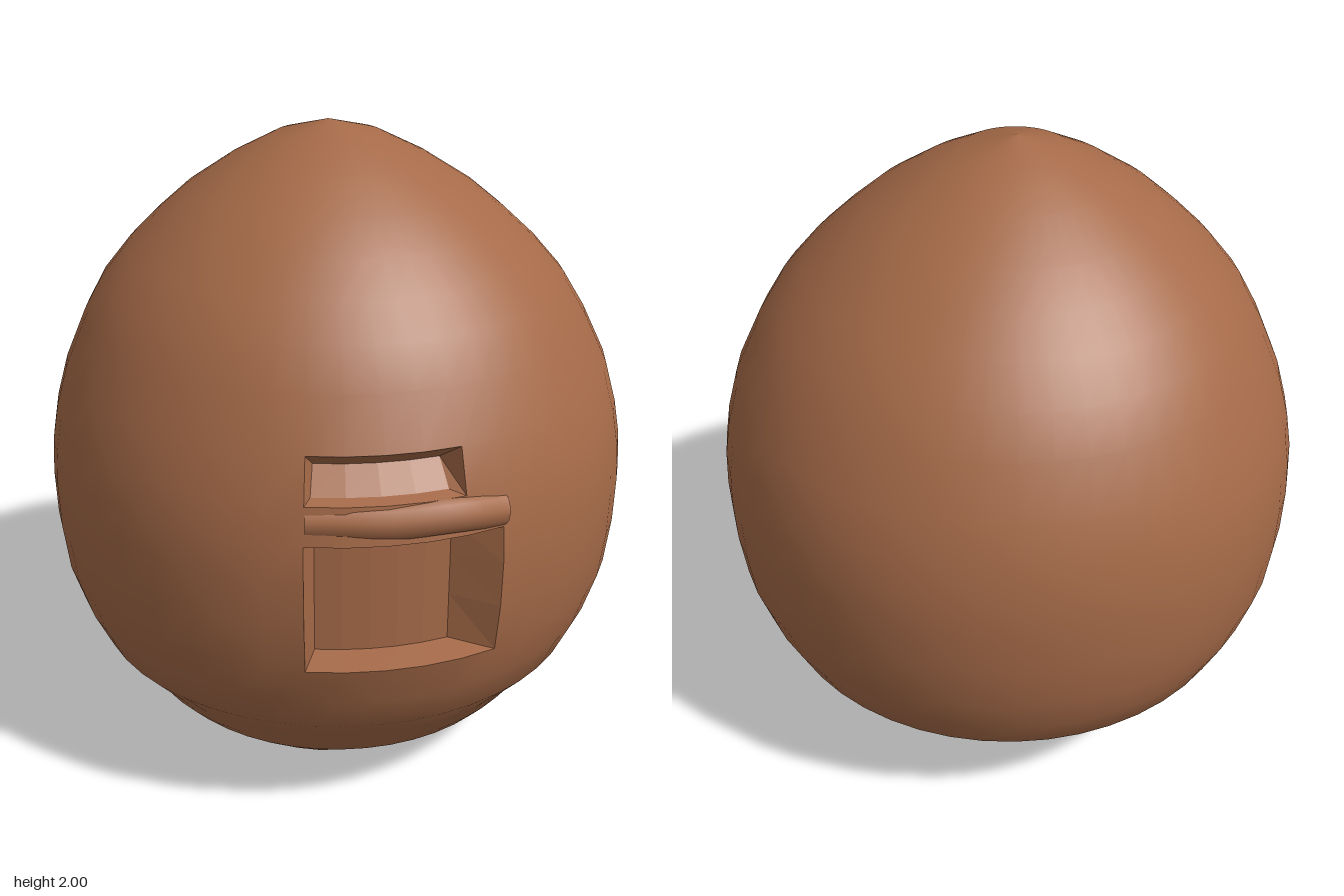
import * as THREE from 'three';

const COLS = 50;
const STEP = (Math.PI * 2) / COLS;

// Body outline: [radius, height]
const PROFILE = [
  [0, 0.005], [0.2, 0.01], [0.38, 0.03], [0.54, 0.1], [0.615, 0.16], [0.66, 0.21], [0.71, 0.28],
  [0.8, 0.38], [0.855, 0.5], [0.895, 0.63], [0.912, 0.78], [0.915, 0.92], [0.908, 1.03],
  [0.888, 1.14], [0.85, 1.27], [0.78, 1.42], [0.715, 1.53], [0.63, 1.63], [0.535, 1.72],
  [0.44, 1.8], [0.3, 1.89], [0.16, 1.96], [0, 2],
];

// Recesses in the front: columns c0..c1, profile rows r0..r1, inner radii and insets
const NICHES = [
  { name: 'windowRecess', c0: 0, c1: 5, r0: 9, r1: 12, low: 0.8, high: 0.8, left: 0.02, right: 0.12, bottom: 0.015, top: 0.005 },
  { name: 'upperRecess', c0: 0, c1: 4, r0: 13, r1: 14, low: 0.85, high: 0.785, left: 0.015, right: 0.04, bottom: 0.01, top: 0.05 },
];

const polar = (r, a, y) => new THREE.Vector3(Math.sin(a) * r, y, Math.cos(a) * r);

function bodyPoint(col, row) {
  const a = col * STEP;
  const [r, y] = PROFILE[row];
  // Undercut beneath the ledge low on the back
  const back = Math.exp(-(((a - Math.PI) / 0.5) ** 2));
  const dent = 0.05 * back * Math.exp(-(((y - 0.2) / 0.06) ** 2));
  const p = polar(r - dent, a, y);
  // Tip leans slightly off centre, underside is a little tilted
  const lean = Math.max(0, (y - 1.3) / 0.7);
  p.x -= 0.02 * lean;
  p.z += 0.035 * lean;
  if (y < 0.12) p.y += Math.max(0, p.x) * 0.05 - (row === 0 ? 0.005 : 0);
  return p;
}

function geometryFrom(points, index) {
  const g = new THREE.BufferGeometry().setFromPoints(points);
  if (index) g.setIndex(index);
  g.computeVertexNormals();
  return g;
}

// Round shell with openings left for the recesses
function bodyGeometry() {
  const points = [], index = [];
  for (let row = 0; row < PROFILE.length; row++) {
    for (let col = 0; col < COLS; col++) points.push(bodyPoint(col, row));
  }
  for (let row = 0; row < PROFILE.length - 1; row++) {
    for (let col = 0; col < COLS; col++) {
      if (NICHES.some((n) => col >= n.c0 && col < n.c1 && row >= n.r0 && row < n.r1)) continue;
      const next = (col + 1) % COLS;
      const a = row * COLS + col, b = row * COLS + next;
      const c = b + COLS, d = a + COLS;
      index.push(a, b, c, a, c, d);
    }
  }
  return geometryFrom(points, index);
}

// Side walls and back of one recess
function nicheGeometry(n) {
  const loop = [];
  for (let c = n.c0; c < n.c1; c++) loop.push([c, n.r0]);
  for (let r = n.r0; r < n.r1; r++) loop.push([n.c1, r]);
  for (let c = n.c1; c > n.c0; c--) loop.push([c, n.r1]);
  for (let r = n.r1; r > n.r0; r--) loop.push([n.c0, r]);

  const a0 = n.c0 * STEP + n.left, a1 = n.c1 * STEP - n.right;
  const y0 = PROFILE[n.r0][1] + n.bottom, y1 = PROFILE[n.r1][1] - n.top;
  const inner = (c, r) => {
    const u = (c - n.c0) / (n.c1 - n.c0);
    const v = (PROFILE[r][1] - PROFILE[n.r0][1]) / (PROFILE[n.r1][1] - PROFILE[n.r0][1]);
    return polar(THREE.MathUtils.lerp(n.low, n.high, v),
      THREE.MathUtils.lerp(a0, a1, u), THREE.MathUtils.lerp(y0, y1, v));
  };

  const points = [];
  const quad = (a, b, c, d) => points.push(a, b, c, a, c, d);
  loop.forEach(([c, r], i) => {
    const [c2, r2] = loop[(i + 1) % loop.length];
    quad(bodyPoint(c, r), bodyPoint(c2, r2), inner(c2, r2), inner(c, r));
  });
  for (let r = n.r0; r < n.r1; r++) {
    for (let c = n.c0; c < n.c1; c++) {
      quad(inner(c, r), inner(c + 1, r), inner(c + 1, r + 1), inner(c, r + 1));
    }
  }
  return geometryFrom(points);
}

export function createModel() {
  const group = new THREE.Group();
  const clay = new THREE.MeshStandardMaterial({ color: 0xa56a48, side: THREE.DoubleSide });
  clay.name = 'brown clay';

  const add = (name, geometry) => {
    const mesh = new THREE.Mesh(geometry, clay);
    mesh.name = name;
    group.add(mesh);
  };

  add('body', bodyGeometry());
  NICHES.forEach((n) => add(n.name, nicheGeometry(n)));

  // Rounded bar between the two recesses
  const bar = new THREE.CatmullRomCurve3([
    new THREE.Vector3(0, 1.085, 0.855), new THREE.Vector3(0.22, 1.085, 0.84),
    new THREE.Vector3(0.39, 1.09, 0.79), new THREE.Vector3(0.52, 1.07, 0.7),
  ]);
  add('lintel', new THREE.TubeGeometry(bar, 12, 0.052, 10, false));

  return group;
}
